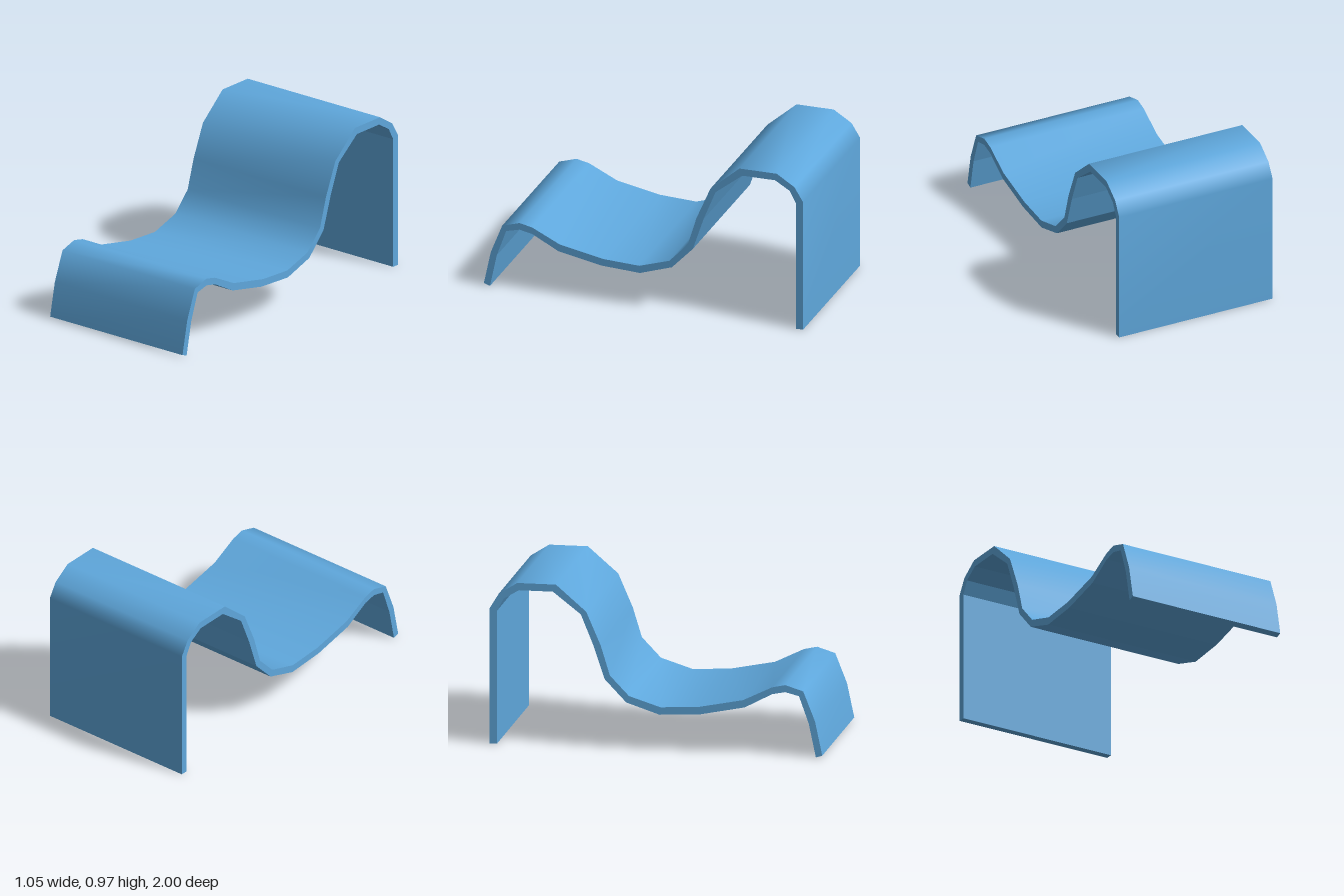
import * as THREE from 'three';
import { mergeGeometries } from 'three/addons/utils/BufferGeometryUtils.js';

const WIDTH = 1.0;
const TURN = -0.0235; // the whole piece sits slightly turned about y

// Section of the bent sheet, front foot to back foot: [outer z, outer y, inner z, inner y]
const SECTION = [
  [0.988, 0.012, 0.95, 0], [0.945, 0.215, 0.908, 0.2], [0.875, 0.392, 0.85, 0.362],
  [0.768, 0.425, 0.768, 0.383], [0.69, 0.408, 0.69, 0.367], [0.518, 0.324, 0.528, 0.281],
  [0.25, 0.271, 0.264, 0.228], [0.028, 0.26, 0.023, 0.215], [-0.159, 0.319, -0.175, 0.28],
  [-0.272, 0.437, -0.304, 0.415], [-0.326, 0.613, -0.37, 0.613], [-0.412, 0.812, -0.444, 0.795],
  [-0.592, 0.967, -0.61, 0.924], [-0.822, 0.967, -0.812, 0.924], [-0.932, 0.897, -0.902, 0.87],
  [-0.985, 0.81, -0.942, 0.795], [-0.985, 0, -0.942, 0],
];

// Strip of quads between two rows of points
function strip(a, b, smooth) {
  const positions = [], index = [];
  a.forEach((p, i) => {
    positions.push(...p, ...b[i]);
    if (i) {
      const k = 2 * (i - 1);
      index.push(k, k + 1, k + 3, k, k + 3, k + 2);
    }
  });
  let g = new THREE.BufferGeometry();
  g.setAttribute('position', new THREE.Float32BufferAttribute(positions, 3));
  g.setIndex(index);
  if (smooth) g.computeVertexNormals();
  g = g.toNonIndexed();
  if (!smooth) g.computeVertexNormals();
  return g;
}

export function createModel() {
  const group = new THREE.Group();
  group.name = 'loungeChair';
  const blue = new THREE.MeshStandardMaterial({ color: 0x5fa8dd });
  blue.name = 'sky blue';

  const outer = (x) => SECTION.map((s) => [x, s[1], s[0]]);
  const inner = (x) => SECTION.map((s) => [x, s[3], s[2]]);
  const r = WIDTH / 2, l = -r, end = SECTION.length - 1;
  const outL = outer(l), outR = outer(r), inL = inner(l), inR = inner(r);

  const add = (name, ...parts) => {
    const mesh = new THREE.Mesh(mergeGeometries(parts), blue);
    mesh.name = name;
    group.add(mesh);
  };

  // Smooth upper surface and faceted underside
  add('upperSurface', strip(outL, outR, true));
  add('underside', strip(inR, inL, false));

  // Thickness of the sheet along both sides
  add('sideEdges', strip(outR, inR, false), strip(inL, outL, false));

  // Narrow faces the sheet stands on
  add('frontFoot', strip([inL[0], outL[0]], [inR[0], outR[0]], false));
  add('backFoot', strip([outL[end], inL[end]], [outR[end], inR[end]], false));

  group.rotation.y = TURN;
  return group;
}
